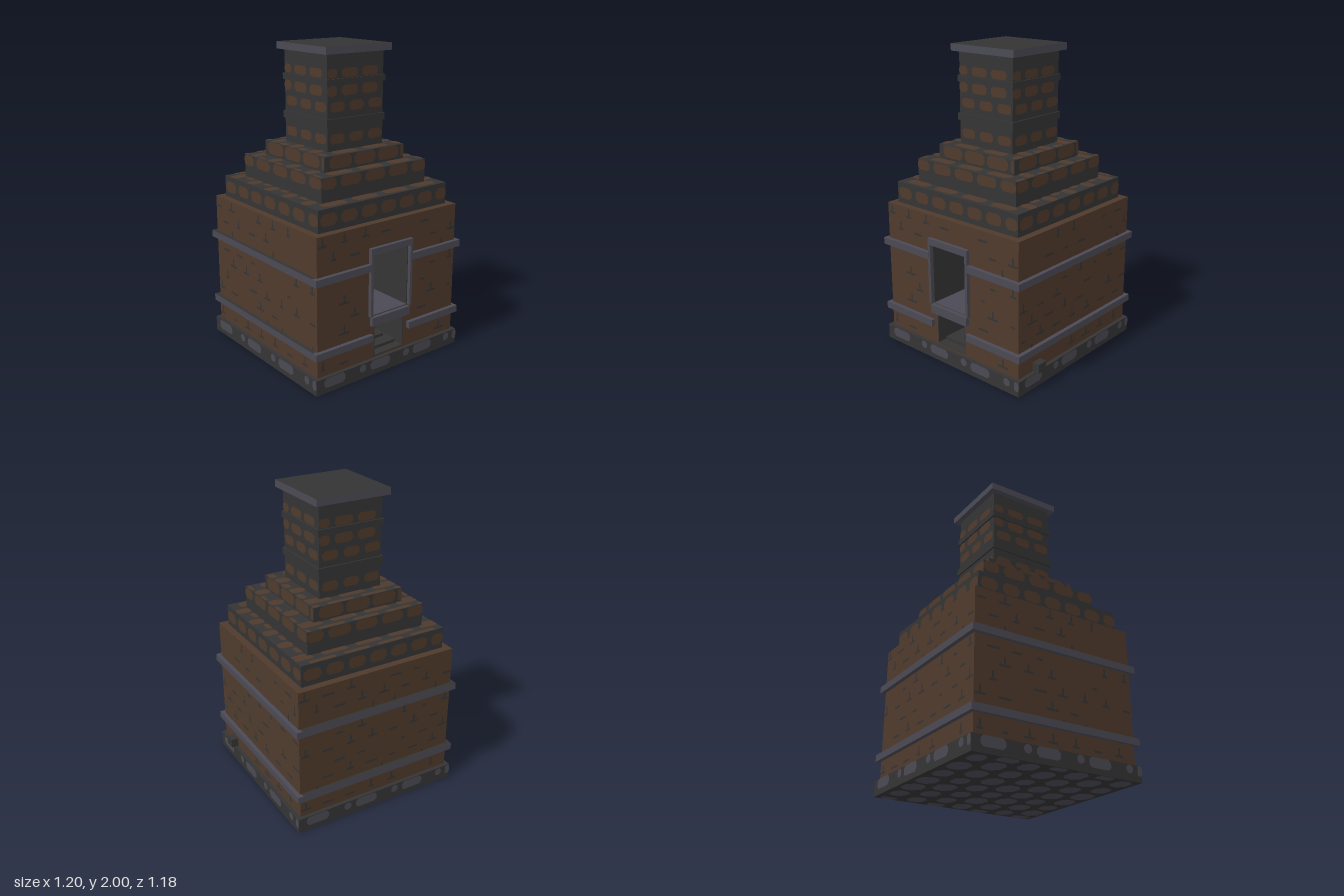
import * as THREE from 'three';
import { mergeGeometries } from 'three/addons/utils/BufferGeometryUtils.js';

const material = (name, color) => {
  const m = new THREE.MeshStandardMaterial({ color });
  m.name = name;
  return m;
};

export function createModel() {
  const brick = material('brownBrick', 0x4f3a2c);
  const dark = material('darkMortar', 0x343434);
  const stone = material('greyStone', 0x4b4a54);

  const model = new THREE.Group();
  model.name = 'brickFurnace';
  const body = new THREE.Group();
  body.name = 'furnace';
  body.position.x = -0.014;
  model.add(body);

  let seed = 7;
  const rand = () => (seed = (seed * 16807) % 2147483647) / 2147483647;

  const add = (name, geometry, mat) => {
    const mesh = new THREE.Mesh(geometry, mat);
    mesh.name = name;
    body.add(mesh);
    return mesh;
  };
  // Box given by its minimum and maximum corners
  const box = (name, mat, x0, x1, y0, y1, z0, z1) =>
    add(name, new THREE.BoxGeometry(x1 - x0, y1 - y0, z1 - z0)
      .translate((x0 + x1) / 2, (y0 + y1) / 2, (z0 + z1) / 2), mat);
  const block = (name, mat, half, y0, y1) => box(name, mat, -half, half, y0, y1, -half, half);

  // Flat patch with cut corners in the xy plane
  const patch = (x0, x1, y0, y1, cut = 0.28) => {
    const c = cut * Math.min(x1 - x0, y1 - y0);
    return new THREE.ShapeGeometry(new THREE.Shape([
      [x0 + c, y0], [x1 - c, y0], [x1, y0 + c], [x1, y1 - c],
      [x1 - c, y1], [x0 + c, y1], [x0, y1 - c], [x0, y0 + c],
    ].map(p => new THREE.Vector2(...p))));
  };
  const LIFT = 0.003;
  const onSide = (g, side, half) => g.translate(0, 0, half + LIFT).rotateY(side * Math.PI / 2);

  // Rows of patches on all four sides: each row is [y0, y1, pitch, gap, shift]
  const sideRows = (name, mat, half, rows) => {
    const list = [];
    for (let side = 0; side < 4; side++)
      for (const [y0, y1, pitch, gap, shift] of rows)
        for (let x = -6 * pitch + shift; x < half; x += pitch) {
          const a = Math.max(x + gap / 2, -half), b = Math.min(x + pitch - gap / 2, half);
          if (b - a > 0.02) list.push(onSide(patch(a, b, y0, y1), side, half));
        }
    add(name, mergeGeometries(list), mat);
  };

  // One staggered brick pattern clipped to the step around a tier
  const stepBricks = (name, outer, inner, y) => {
    const strips = [
      [-outer, outer, inner, outer], [-outer, outer, -outer, -inner],
      [-outer, -inner, -inner, inner], [inner, outer, -inner, inner],
    ];
    const list = [];
    for (const [sx0, sx1, sz0, sz1] of strips)
      for (let k = -6; k <= 6; k++)
        for (let n = -4; n <= 4; n++) {
          const zc = k * 0.0975 - 0.03, xc = n * 0.24 + (k & 1 ? 0.12 : 0);
          const x0 = Math.max(sx0, xc - 0.09), x1 = Math.min(sx1, xc + 0.09);
          const z0 = Math.max(sz0, zc - 0.036), z1 = Math.min(sz1, zc + 0.036);
          if (x1 - x0 > 0.02 && z1 - z0 > 0.015)
            list.push(patch(x0, x1, -z1, -z0).rotateX(-Math.PI / 2).translate(0, y + LIFT, 0));
        }
    add(name, mergeGeometries(list), brick);
  };

  // Cobbled base
  block('base', dark, 0.585, 0, 0.1);
  sideRows('baseLargeStones', stone, 0.585, [[0.035, 0.098, 0.36, 0.2, 0.09]]);
  sideRows('baseSmallStones', stone, 0.585, [[0.045, 0.095, 0.36, 0.31, -0.05]]);
  const cobbles = [];
  for (let i = -3; i <= 3; i++)
    for (let j = -3; j <= 3; j++) {
      const x = i * 0.18 + (j & 1 ? 0.045 : -0.045), z = j * 0.165;
      const r = 0.06 + 0.02 * rand();
      const x0 = Math.max(x - r, -0.58), x1 = Math.min(x + r, 0.58);
      if (x1 - x0 > 0.03)
        cobbles.push(patch(x0, x1, z - r * 0.85, z + r * 0.85, 0.3).rotateX(Math.PI / 2).translate(0, -0.001, 0));
    }
  add('baseUndersideStones', mergeGeometries(cobbles), stone);

  // Firebox walls with the door and ash openings
  const H = 0.56, BACK = 0.1;
  const rect = (Type, x0, x1, y0, y1) =>
    new Type([[x0, y0], [x1, y0], [x1, y1], [x0, y1]].map(p => new THREE.Vector2(...p)));
  const wall = rect(THREE.Shape, -H, H, 0.1, 0.98);
  const openings = [[-0.15, 0.15, 0.385, 0.795], [-0.122, 0.122, 0.11, 0.33]];
  for (const o of openings) wall.holes.push(rect(THREE.Path, ...o));
  add('frontWall', new THREE.ExtrudeGeometry(wall, { depth: H - BACK, bevelEnabled: false })
    .translate(0, 0, BACK), brick);
  box('rearWall', brick, -H, H, 0.1, 0.98, -H, BACK);

  // Dark linings of the openings
  openings.forEach(([x0, x1, y0, y1], i) => {
    const n = i ? 'ashPit' : 'hearth', t = 0.005, f = H + 0.001;
    box(n + 'Back', dark, x0, x1, y0, y1, BACK, BACK + t);
    box(n + 'SideRight', dark, x0, x0 + t, y0, y1, BACK, f);
    box(n + 'SideLeft', dark, x1 - t, x1, y0, y1, BACK, f);
    box(n + 'Roof', dark, x0, x1, y1 - t, y1, BACK, f);
    box(n + 'Floor', i ? dark : stone, x0, x1, y0, y0 + t, BACK, f);
  });
  box('ashHeap', dark, -0.11, 0.11, 0.113, 0.135, 0.2, 0.5);
  box('ashLump', dark, -0.01, 0.08, 0.135, 0.155, 0.28, 0.42);

  // Worn mortar joints on the firebox
  const joints = [];
  for (let side = 0; side < 4; side++)
    for (let row = 0; row < 9; row++)
      for (let n = -3; n <= 3; n++) {
        const y = 0.135 + row * 0.097, x = n * 0.16 + (row & 1 ? 0.04 : -0.04);
        const w = 0.03 + 0.06 * rand(), tall = rand() < 0.5;
        if (side === 0 && Math.abs(x) < 0.26 && y < 0.84) continue;
        if (Math.abs(x) + w / 2 > H || rand() < 0.25) continue;
        joints.push(onSide(patch(x - w / 2, x + w / 2, y, y + 0.014), side, H));
        if (tall) joints.push(onSide(patch(x - 0.007, x + 0.007, y + 0.014, y + 0.06), side, H));
      }
  add('mortarJoints', mergeGeometries(joints), dark);

  // Stone bands, interrupted at the openings
  const B = 0.587;
  const darkTop = [stone, stone, dark, stone, stone, stone];
  for (const [name, y0, y1, gap] of [['lowerBand', 0.225, 0.27, 0.15], ['upperBand', 0.69, 0.735, 0.165]]) {
    box(name + 'FrontRight', stone, -B, -gap, y0, y1, H - 0.01, B);
    box(name + 'FrontLeft', stone, gap, B, y0, y1, H - 0.01, B);
    box(name + 'Left', stone, H - 0.01, B, y0, y1, -B, H - 0.01);
    box(name + 'Right', darkTop, -B, -H + 0.01, y0, y1, -B, H - 0.01);
    box(name + 'Back', darkTop, -H + 0.01, H - 0.01, y0, y1, -B, -H + 0.01);
  }

  // Door frame and sill
  for (const s of [-1, 1])
    box(s > 0 ? 'doorFrameLeft' : 'doorFrameRight', stone,
      Math.min(s * 0.15, s * 0.169), Math.max(s * 0.15, s * 0.169), 0.39, 0.795, H - 0.02, 0.585);
  box('doorFrameTop', stone, -0.169, 0.169, 0.79, 0.832, H - 0.02, 0.585);
  box('doorSill', stone, -0.155, 0.155, 0.325, 0.382, H - 0.02, 0.585);

  // Peg on the left side
  box('sidePeg', dark, 0.55, 0.609, 0.1, 0.16, 0.355, 0.425);

  // Stepped shoulders
  block('lowerStep', dark, 0.512, 0.98, 1.12);
  sideRows('lowerStepBricks', brick, 0.512, [[1.015, 1.09, 0.153, 0.035, -0.055]]);
  stepBricks('lowerStepTopBricks', 0.512, 0.415, 1.12);
  block('middleStep', dark, 0.415, 1.12, 1.27);
  sideRows('middleStepBricks', brick, 0.415, [[1.2, 1.268, 0.19, 0.035, -0.1]]);
  stepBricks('middleStepTopBricks', 0.415, 0.317, 1.27);
  block('upperStep', dark, 0.317, 1.27, 1.365);
  sideRows('upperStepBricks', brick, 0.317, [[1.285, 1.364, 0.19, 0.02, -0.1]]);
  stepBricks('upperStepTopBricks', 0.317, 0.22, 1.365);

  // Chimney with two bands and a cap
  block('chimney', dark, 0.22, 1.365, 1.96);
  sideRows('chimneyBricks', brick, 0.22, [
    [1.41, 1.47, 0.15, 0.04, -0.07], [1.605, 1.665, 0.15, 0.04, -0.07],
    [1.7, 1.763, 0.16, 0.035, 0.03], [1.81, 1.865, 0.16, 0.035, 0.03],
  ]);
  block('chimneyLowerBand', dark, 0.23, 1.52, 1.565);
  block('chimneyUpperBand', dark, 0.23, 1.765, 1.805);
  block('chimneyCap', darkTop, 0.256, 1.955, 2);

  return model;
}
